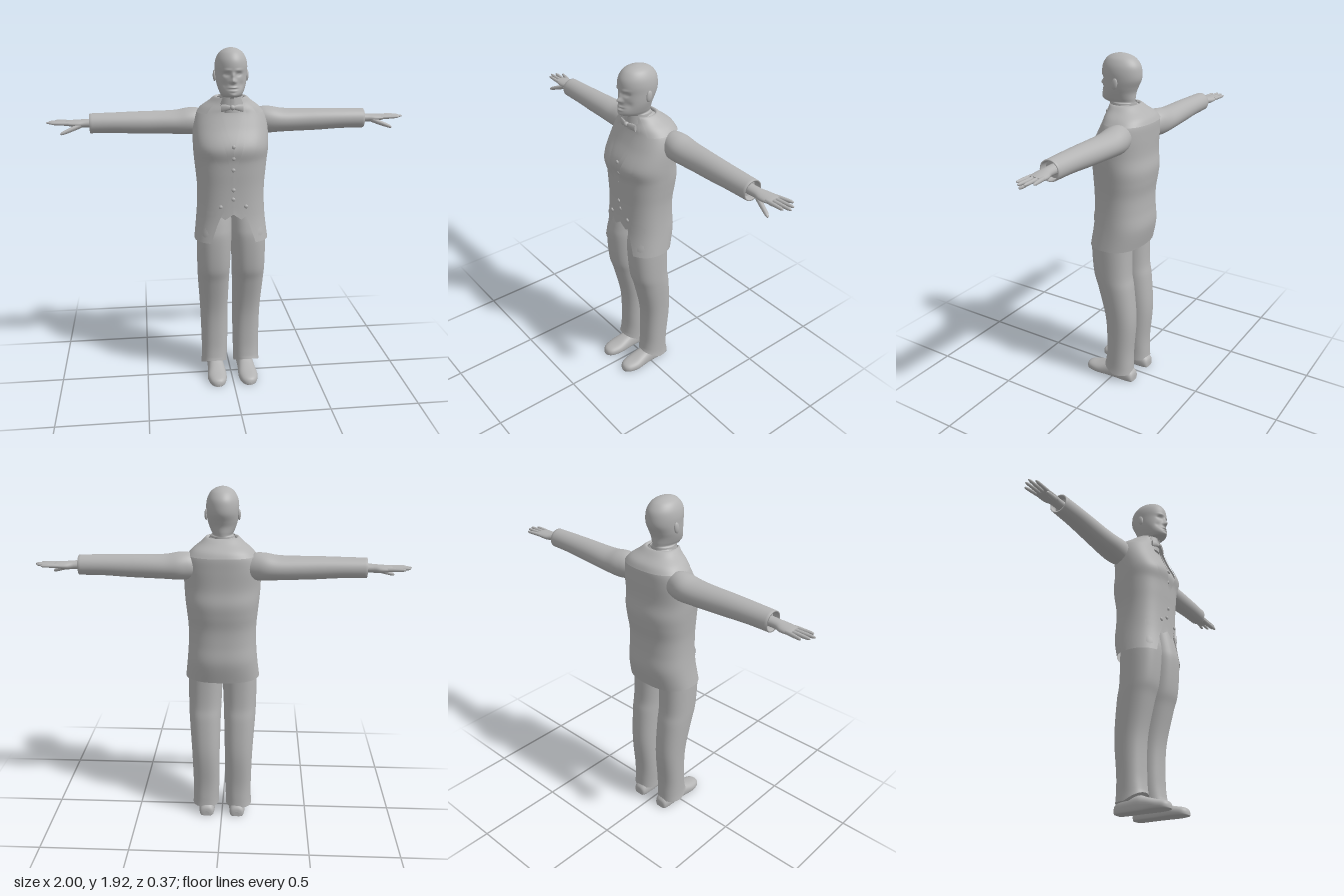
import * as THREE from 'three';

const cloth = new THREE.MeshStandardMaterial({ color: 0xb3b3b3, side: THREE.DoubleSide });
cloth.name = 'plain grey';

// Catmull-Rom refinement of a short list of cross-section rows
function smooth(rows, steps = 6) {
  const out = [];
  const at = i => rows[Math.min(rows.length - 1, Math.max(0, i))];
  for (let i = 0; i < rows.length - 1; i++) {
    for (let s = 0; s < steps; s++) {
      const t = s / steps, [a, b, c, d] = [at(i - 1), at(i), at(i + 1), at(i + 2)];
      out.push(b.map((_, k) => 0.5 * (2 * b[k] + (c[k] - a[k]) * t
        + (2 * a[k] - 5 * b[k] + 4 * c[k] - d[k]) * t * t
        + (3 * b[k] - a[k] - 3 * c[k] + d[k]) * t * t * t)));
    }
  }
  out.push(rows[rows.length - 1]);
  return out;
}

// Loft of superellipse rows [along, cu, cv, ru, rv]; angle 0 is the +v side
function loft(rows, { n = 40, p = 2, axis = 'y', arc = null, mod = null, caps = true } = {}) {
  const pos = [], idx = [];
  const pw = a => Math.sign(a) * Math.pow(Math.abs(a), 2 / p);
  const m = arc ? n + 1 : n;
  for (const r of rows) {
    const [a0, a1] = arc ? arc(r) : [0, Math.PI * 2];
    for (let j = 0; j < m; j++) {
      const f = a0 + (a1 - a0) * j / n;
      const u = r[1] + r[3] * pw(Math.sin(f)), v = r[2] + r[4] * pw(Math.cos(f));
      const q = axis === 'y' ? [u, r[0], v] : axis === 'x' ? [r[0], v, u] : [v, u, r[0]];
      if (mod) mod(q);
      pos.push(...q);
    }
  }
  for (let i = 0; i < rows.length - 1; i++) {
    for (let j = 0; j < n; j++) {
      const k = (j + 1) % m, a = i * m + j, b = i * m + k;
      idx.push(a, b, b + m, a, b + m, a + m);
    }
  }
  if (caps && !arc) {
    for (const [base, flip] of [[0, true], [(rows.length - 1) * m, false]]) {
      const start = pos.length / 3, c = [0, 0, 0];
      for (let j = 0; j < m; j++) {
        for (let k = 0; k < 3; k++) {
          const w = pos[(base + j) * 3 + k];
          pos.push(w);
          c[k] += w / m;
        }
      }
      pos.push(...c);
      for (let j = 0; j < m; j++) {
        const a = start + j, b = start + (j + 1) % m;
        idx.push(...(flip ? [b, a, start + m] : [a, b, start + m]));
      }
    }
  }
  const g = new THREE.BufferGeometry();
  g.setAttribute('position', new THREE.Float32BufferAttribute(pos, 3));
  g.setIndex(idx);
  g.computeVertexNormals();
  return g;
}

function mirrored(geo) {
  const g = geo.clone().scale(-1, 1, 1), ix = g.index.array;
  for (let i = 0; i < ix.length; i += 3) [ix[i], ix[i + 1]] = [ix[i + 1], ix[i]];
  g.computeVertexNormals();
  return g;
}

export function createModel() {
  const model = new THREE.Group();
  const add = (name, geo) => {
    const mesh = new THREE.Mesh(geo, cloth);
    mesh.name = name;
    model.add(mesh);
    return mesh;
  };
  const pair = (name, geo) => {
    add('left ' + name, geo);
    add('right ' + name, mirrored(geo));
  };

  // Jacket: last two columns are half the front opening and the lapel's outer edge
  const P = 2.4;
  const jacket = smooth([
    [0.865, 0, 0.005, 0.208, 0.15, 0.125, 0],
    [0.98, 0, -0.015, 0.195, 0.155, 0.085, 0],
    [1.08, 0, -0.015, 0.188, 0.15, 0.04, 0],
    [1.17, 0, -0.015, 0.188, 0.15, 0.004, 0],
    [1.25, 0, -0.019, 0.195, 0.158, 0.006, 0.03],
    [1.32, 0, -0.02, 0.202, 0.163, 0.03, 0.09],
    [1.4, 0, -0.01, 0.208, 0.163, 0.052, 0.125],
    [1.5, 0, -0.035, 0.206, 0.14, 0.075, 0.12],
    [1.57, 0, -0.05, 0.187, 0.125, 0.08, 0.1],
    [1.6, 0, -0.047, 0.158, 0.115, 0.075, 0.09],
    [1.63, 0, -0.03, 0.115, 0.09, 0.062, 0.075],
    [1.66, 0, -0.015, 0.085, 0.07, 0.05, 0.055],
  ]);
  const angle = (x, r) => Math.asin(Math.pow(Math.min(1, Math.max(0, x) / r[3]), P / 2));
  const grown = (rows, dx, dz) => rows.map(r => [r[0], r[1], r[2], r[3] + dx, r[4] + dz, r[5], r[6]]);
  const between = (lo, hi) => jacket.filter(r => r[0] >= lo && r[0] <= hi);
  add('jacket', loft(jacket, { n: 64, p: P, arc: r => [angle(r[5], r), Math.PI * 2 - angle(r[5], r)] }));
  pair('lapel', loft(grown(between(1.25, 1.63), 0.004, 0.007),
    { n: 8, p: P, arc: r => [angle(r[5] - 0.004, r), angle(r[6], r)] }));
  pair('pocket flap', loft(grown(between(1.0, 1.06), 0.004, 0.004),
    { n: 8, p: P, arc: r => [angle(0.1, r), angle(0.165, r)] }));

  // Waistcoat with a V neck and pointed hem, over a shirt
  const vestGap = r => Math.max(0, (r[0] - 1.38) * 0.3);
  add('waistcoat', loft(grown(between(0.99, 1.6), -0.016, -0.011), {
    n: 64, p: P, arc: r => [angle(vestGap(r), r), Math.PI * 2 - angle(vestGap(r), r)],
    mod: q => {
      const k = Math.max(0, 1.06 - q[1]) / 0.06;
      q[1] += k * 0.03 * Math.min(1.2, Math.abs(Math.abs(q[0]) - 0.045) / 0.045);
    },
  }));
  add('shirt', loft(grown(between(1.2, 1.66), -0.022, -0.018), { n: 48, p: P }));

  // Folded collar lying over the shoulders
  add('collar', loft(smooth([
    [1.575, 0, -0.052, 0.185, 0.13],
    [1.605, 0, -0.046, 0.158, 0.119],
    [1.635, 0, -0.03, 0.118, 0.096],
    [1.662, 0, -0.015, 0.088, 0.078],
    [1.655, 0, -0.012, 0.074, 0.07],
  ], 4), { n: 48, p: P, arc: r => [0.75, Math.PI * 2 - 0.75] }));
  add('shirt collar', loft([[1.615, 0, 0, 0.072, 0.076], [1.668, 0, -0.002, 0.066, 0.073]],
    { n: 40, arc: () => [0.16, Math.PI * 2 - 0.16] }));

  // Bow tie and buttons
  const knot = new THREE.SphereGeometry(0.014, 16, 12).translate(0, 1.612, 0.08);
  add('tie knot', knot);
  pair('tie wing', loft([[0.005, 0.078, 1.612, 0.007, 0.008], [0.035, 0.074, 1.61, 0.009, 0.018],
    [0.06, 0.066, 1.606, 0.006, 0.02]], { n: 16, axis: 'x' }));
  for (const [x, y, z] of [[0, 1.41, 0.143], [0, 1.345, 0.135], [0, 1.28, 0.13], [0, 1.17, 0.136],
    [0, 1.115, 0.126], [-0.07, 1.075, 0.132], [0.07, 1.075, 0.132]]) {
    add('button', new THREE.SphereGeometry(0.011, 14, 10).scale(1, 1, 0.6).translate(x, y, z));
  }

  // Trouser legs, the hems lifted over the shoes
  pair('trouser leg', loft(smooth([
    [0.05, 0.098, -0.036, 0.077, 0.086],
    [0.1, 0.096, -0.037, 0.075, 0.083],
    [0.2, 0.094, -0.042, 0.077, 0.078],
    [0.4, 0.096, -0.047, 0.081, 0.088],
    [0.6, 0.1, -0.017, 0.09, 0.103],
    [0.7, 0.1, 0.005, 0.094, 0.11],
    [0.87, 0.097, 0.013, 0.098, 0.116],
    [0.95, 0.093, 0.006, 0.095, 0.114],
    [1.06, 0.085, -0.01, 0.085, 0.105],
  ]), {
    p: 2.3,
    mod: q => { if (q[1] < 0.11) q[1] += 0.045 * Math.max(0, (q[2] + 0.035) / 0.086) * (0.11 - q[1]) / 0.06; },
  }));

  // Shoes with flat soles
  const shoeRow = (z, h, w, x = 0.09) => [z, h * 0.35, x, h * 0.65, w];
  pair('shoe', loft(smooth([
    shoeRow(-0.136, 0.03, 0.018), shoeRow(-0.128, 0.055, 0.038), shoeRow(-0.09, 0.08, 0.046),
    shoeRow(0, 0.09, 0.048), shoeRow(0.05, 0.075, 0.052), shoeRow(0.11, 0.056, 0.056, 0.092),
    shoeRow(0.16, 0.045, 0.045, 0.092), shoeRow(0.182, 0.034, 0.028, 0.092), shoeRow(0.191, 0.016, 0.008, 0.092),
  ], 5), { axis: 'z', n: 32, p: 2.3, mod: q => { q[1] = Math.max(0, q[1]); } }));

  // Sleeves, with the cuff turned inward
  pair('sleeve', loft(smooth([
    [0.14, -0.085, 1.515, 0.055, 0.06],
    [0.18, -0.085, 1.518, 0.069, 0.073],
    [0.23, -0.087, 1.517, 0.078, 0.074],
    [0.3, -0.087, 1.513, 0.077, 0.066],
    [0.4, -0.086, 1.513, 0.07, 0.063],
    [0.5, -0.083, 1.514, 0.065, 0.061],
    [0.63, -0.081, 1.516, 0.06, 0.056],
    [0.765, -0.081, 1.515, 0.055, 0.054],
  ]).concat([[0.765, -0.081, 1.515, 0.048, 0.047], [0.73, -0.081, 1.515, 0.046, 0.045]]),
  { axis: 'x', n: 36 }));

  // Hands: palm, four fingers and a thumb
  pair('palm', loft(smooth([
    [0.72, -0.083, 1.515, 0.03, 0.026],
    [0.79, -0.085, 1.515, 0.031, 0.023],
    [0.83, -0.09, 1.514, 0.042, 0.021],
    [0.875, -0.094, 1.516, 0.043, 0.016],
    [0.895, -0.095, 1.518, 0.037, 0.011],
  ], 4), { axis: 'x', n: 24 }));
  const digit = (x0, y0, z0, x1, y1, z1, r) => loft([[0, 1], [0.3, 1], [0.6, 0.9], [0.85, 0.78], [0.96, 0.5], [1, 0.12]]
    .map(([t, s]) => [x0 + (x1 - x0) * t, z0 + (z1 - z0) * t, y0 + (y1 - y0) * t, r * s, r * s]), { axis: 'x', n: 12 });
  for (const [name, z0, x1, z1] of [['index finger', -0.063, 0.975, -0.062], ['middle finger', -0.085, 1, -0.088],
    ['ring finger', -0.106, 0.99, -0.116], ['little finger', -0.125, 0.96, -0.146]]) {
    pair(name, digit(0.865, 1.517, z0, x1, 1.521, z1, 0.0105));
  }
  pair('thumb', digit(0.81, 1.508, -0.066, 0.922, 1.468, -0.028, 0.014));

  // Head and neck; the face is shaped by small rounded bumps and hollows
  const bumps = [ // x, y, depth, width, height
    [0, 1.757, 0.024, 0.011, 0.013], [0, 1.783, 0.011, 0.009, 0.016], [0.014, 1.752, 0.006, 0.007, 0.008],
    [0.033, 1.79, -0.012, 0.015, 0.01], [0.033, 1.79, 0.005, 0.008, 0.005], [0.03, 1.812, 0.005, 0.022, 0.007],
    [0, 1.722, 0.007, 0.02, 0.005], [0, 1.713, -0.005, 0.022, 0.003], [0, 1.705, 0.007, 0.017, 0.005],
    [0, 1.682, 0.005, 0.018, 0.01], [0.045, 1.735, -0.006, 0.015, 0.018],
  ];
  add('head', loft(smooth([
    [1.58, 0, -0.005, 0.064, 0.072],
    [1.64, 0, -0.004, 0.061, 0.07],
    [1.664, 0, 0.002, 0.06, 0.07],
    [1.673, 0, 0.022, 0.056, 0.09],
    [1.69, 0, 0.027, 0.064, 0.097],
    [1.72, 0, 0.023, 0.075, 0.096],
    [1.75, 0, 0.015, 0.082, 0.1],
    [1.79, 0, 0.006, 0.086, 0.109],
    [1.83, 0, 0.007, 0.087, 0.112],
    [1.865, 0, 0.008, 0.08, 0.105],
    [1.895, 0, 0.01, 0.063, 0.083],
    [1.912, 0, 0.012, 0.04, 0.055],
    [1.92, 0, 0.013, 0.018, 0.024],
    [1.922, 0, 0.013, 0.002, 0.003],
  ], 8), {
    n: 96,
    mod: q => {
      if (q[2] < 0.03) return;
      let dz = 0;
      for (const [x, y, d, w, h] of bumps) {
        dz += d * Math.exp(-(((Math.abs(q[0]) - x) / w) ** 2) - ((q[1] - y) / h) ** 2);
      }
      q[2] += dz * Math.min(1, (q[2] - 0.03) / 0.03);
    },
  }));
  pair('ear', new THREE.SphereGeometry(1, 16, 12).scale(0.009, 0.03, 0.017).rotateX(-0.15).translate(0.088, 1.775, 0));

  return model;
}
